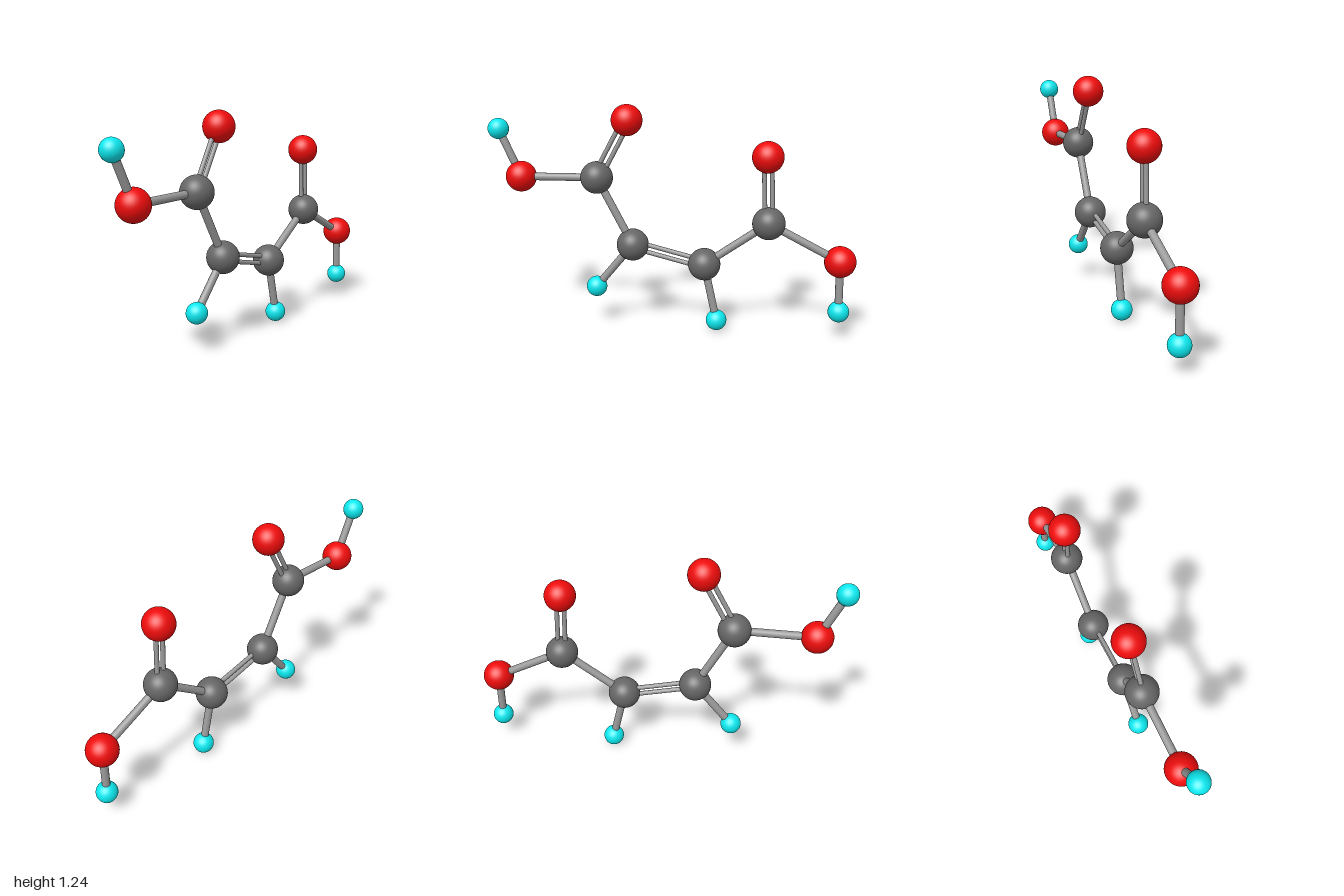
import * as THREE from 'three';

const material = (color) => new THREE.MeshStandardMaterial({ color });

// Atom kinds: radius and colour
const KINDS = {
  carbon: { radius: 0.088, material: material(0x666666) },
  oxygen: { radius: 0.084, material: material(0xee0c0c) },
  hydrogen: { radius: 0.057, material: material(0x0ce8ee) },
};
const BOND_MATERIAL = material(0x999999);

// Atom centres, all in the plane z = 0
const ATOMS = {
  leftAcidHydrogen: ['hydrogen', 0.92, 0.148],
  leftHydroxylOxygen: ['oxygen', 0.914, 0.43],
  leftAcidCarbon: ['carbon', 0.532, 0.625],
  leftDoubleOxygen: ['oxygen', 0.517, 0.981],
  leftChainCarbon: ['carbon', 0.19, 0.381],
  leftChainHydrogen: ['hydrogen', 0.26, 0.06],
  rightChainCarbon: ['carbon', -0.206, 0.475],
  rightChainHydrogen: ['hydrogen', -0.414, 0.222],
  rightAcidCarbon: ['carbon', -0.401, 0.845],
  rightDoubleOxygen: ['oxygen', -0.231, 1.159],
  rightHydroxylOxygen: ['oxygen', -0.826, 0.839],
  rightAcidHydrogen: ['hydrogen', -0.943, 1.099],
};

// Pairs of joined atoms and the number of rods between them
const BONDS = [
  ['leftChainCarbon', 'rightChainCarbon', 2],
];
for (const side of ['left', 'right']) {
  BONDS.push(
    [side + 'ChainCarbon', side + 'ChainHydrogen', 1],
    [side + 'ChainCarbon', side + 'AcidCarbon', 1],
    [side + 'AcidCarbon', side + 'DoubleOxygen', 2],
    [side + 'AcidCarbon', side + 'HydroxylOxygen', 1],
    [side + 'HydroxylOxygen', side + 'AcidHydrogen', 1],
  );
}

const centre = (name) => new THREE.Vector3(ATOMS[name][1], ATOMS[name][2], 0);

function makeBond(from, to, count) {
  const a = centre(from), b = centre(to);
  const along = b.clone().sub(a);
  const radius = count === 2 ? 0.0125 : 0.021;
  const geometry = new THREE.CylinderGeometry(radius, radius, along.length(), 20, 1, true);
  const bond = new THREE.Group();
  bond.name = count === 2 ? 'doubleBond' : 'singleBond';
  bond.position.copy(a).add(b).multiplyScalar(0.5);
  bond.rotation.z = Math.atan2(-along.x, along.y);
  // Double bonds are two thin rods side by side in the molecule's plane
  for (const x of count === 2 ? [-0.02, 0.02] : [0]) {
    const rod = new THREE.Mesh(geometry, BOND_MATERIAL);
    rod.name = 'bondRod';
    rod.position.x = x;
    bond.add(rod);
  }
  return bond;
}

export function createModel() {
  const model = new THREE.Group();
  model.name = 'ballAndStickMolecule';

  // Atoms
  for (const [name, [kind]] of Object.entries(ATOMS)) {
    const { radius, material } = KINDS[kind];
    const atom = new THREE.Mesh(new THREE.SphereGeometry(radius, 40, 28), material);
    atom.name = name;
    atom.position.copy(centre(name));
    model.add(atom);
  }

  // Bonds
  for (const [from, to, count] of BONDS) model.add(makeBond(from, to, count));

  return model;
}
